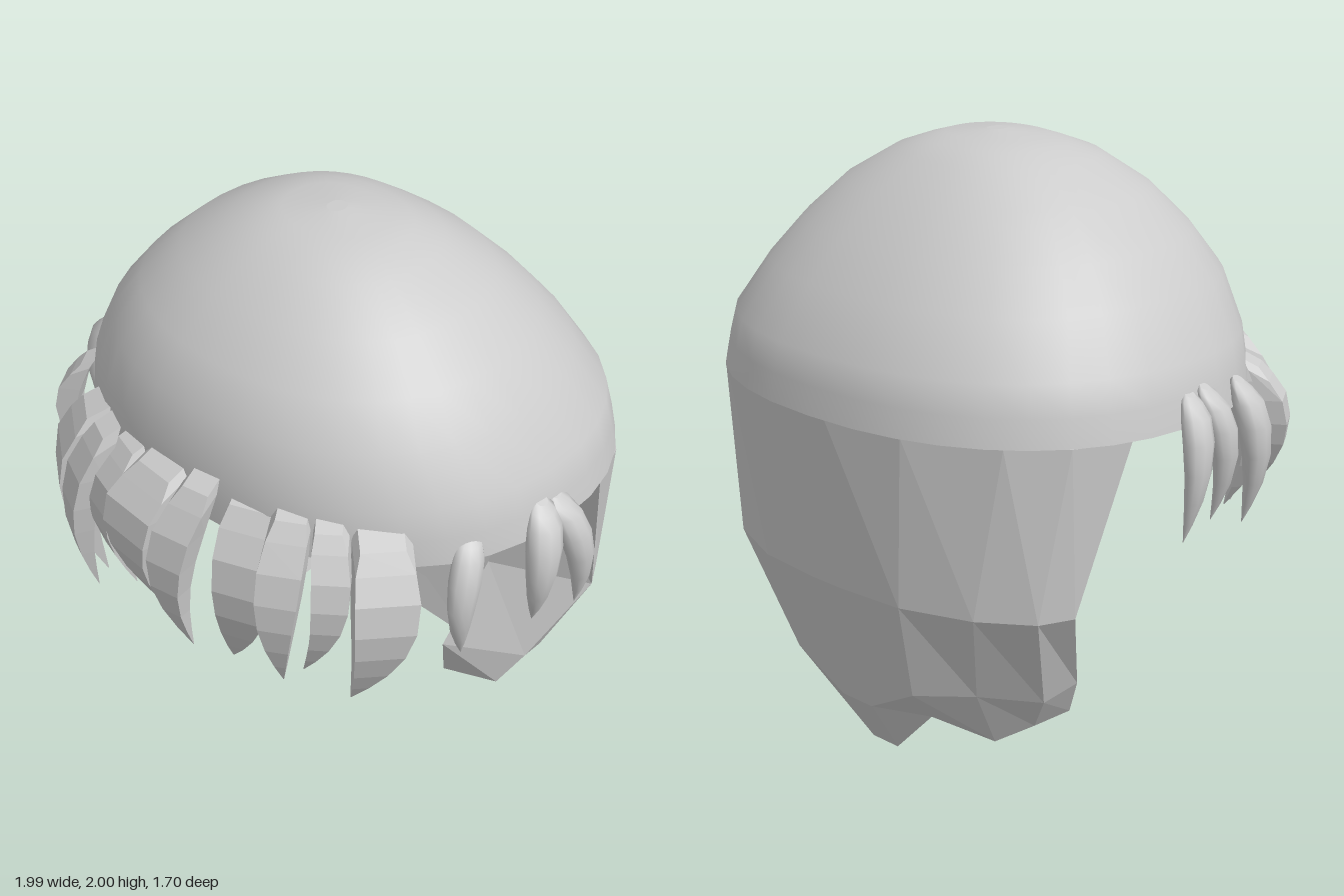
import * as THREE from 'three';

// Skin a stack of rings (top to bottom, each anticlockwise from above) and close both ends
function loft(name, rings, flat) {
  const n = rings[0].length, pos = [], idx = [];
  rings.forEach(r => r.forEach(p => pos.push(...p)));
  for (let i = 0; i < rings.length - 1; i++) {
    for (let j = 0; j < n; j++) {
      const k = (j + 1) % n, a = i * n, b = a + n;
      idx.push(a + j, b + j, b + k, a + j, b + k, a + k);
    }
  }
  [rings[0], rings[rings.length - 1]].forEach((ring, end) => {
    const start = pos.length / 3;
    ring.forEach(p => pos.push(...p));
    const outline = ring.map(p => new THREE.Vector2(p[0], -p[2]));
    THREE.ShapeUtils.triangulateShape(outline, []).forEach(([a, b, c]) =>
      idx.push(start + a, start + (end ? c : b), start + (end ? b : c)));
  });
  const geo = new THREE.BufferGeometry();
  geo.setAttribute('position', new THREE.Float32BufferAttribute(pos, 3));
  geo.setIndex(idx);
  geo.computeVertexNormals();
  const mesh = new THREE.Mesh(geo, new THREE.MeshStandardMaterial({
    color: 0xcccccc, flatShading: flat, side: THREE.DoubleSide }));
  mesh.name = name;
  return mesh;
}

// Smooth crown: rounded oval rings given as height, half width, front z, back z
function crown() {
  const levels = [
    [2.0, 0.03, 0.01, -0.06], [1.985, 0.18, 0.13, -0.17], [1.965, 0.25, 0.19, -0.24],
    [1.93, 0.35, 0.28, -0.32], [1.83, 0.52, 0.42, -0.46], [1.7, 0.66, 0.54, -0.59],
    [1.57, 0.765, 0.63, -0.7], [1.4, 0.865, 0.665, -0.81], [1.3, 0.89, 0.67, -0.83], [1.21, 0.905, 0.67, -0.845]];
  return loft('crown', levels.map(([y, w, f, b]) => Array.from({ length: 36 }, (_, j) => {
    const a = j / 36 * Math.PI * 2;
    // the back is squarer than the front
    const bulge = v => Math.sign(v) * Math.abs(v) ** (j < 18 ? 0.88 : 0.92);
    return [w * bulge(Math.cos(a)), y, (f + b) / 2 - (f - b) / 2 * bulge(Math.sin(a))];
  })), false);
}

// Thick hair at the back: half sections, five outer points then three inner ones
function backHair() {
  const halves = [
    [[0.875, 1.21, -0.32], [0.8, 1.21, -0.5], [0.66, 1.21, -0.65], [0.36, 1.21, -0.79], [0.07, 1.21, -0.84],
      [0.1, 1.21, -0.58], [0.56, 1.21, -0.58], [0.62, 1.21, -0.25]],
    [[0.78, 0.65, -0.46], [0.72, 0.64, -0.56], [0.56, 0.64, -0.68], [0.32, 0.64, -0.77], [0.07, 0.64, -0.79],
      [0.1, 0.64, -0.46], [0.41, 0.64, -0.46], [0.48, 0.69, -0.27]],
    [[0.64, 0.34, -0.3], [0.61, 0.3, -0.42], [0.46, 0.32, -0.57], [0.28, 0.3, -0.68], [0.07, 0.19, -0.67],
      [0.1, 0.33, -0.39], [0.35, 0.33, -0.39], [0.41, 0.36, -0.13]],
    [[0.56, 0.2, -0.25], [0.53, 0.18, -0.38], [0.42, 0.11, -0.45], [0.25, 0.18, -0.57], [0.06, 0, -0.55],
      [0.13, 0.21, -0.36], [0.34, 0.2, -0.36], [0.36, 0.17, -0.2]]];
  // the underside closes each outer point onto an inner one
  const last = halves[3];
  halves.push([7, 7, 6, 5, 5, 5, 6, 7].map(i => last[i]));
  const flip = list => list.map(([x, y, z]) => [-x, y, z]).reverse();
  return loft('backHair', halves.map(h => {
    const outer = h.slice(0, 5), inner = h.slice(5);
    return [...outer, ...flip(outer), ...flip(inner), ...inner];
  }), true);
}

// Curved lock that bows off the head, swings sideways and tapers to a point
function lock(name, [x, z, top, width, tipX, tipY, tipZ, swing], round) {
  const sides = round ? 10 : 4;
  const profile = round
    ? [[0, 0.35], [0.04, 0.7], [0.14, 0.95], [0.3, 1], [0.5, 0.85], [0.7, 0.6], [0.87, 0.3], [1, 0.02]]
    : [[0, 0.7], [0.08, 0.92], [0.25, 1], [0.42, 0.95], [0.58, 0.78], [0.74, 0.53], [0.88, 0.27], [1, 0.02]];
  const len = Math.hypot(x, z + 0.09), rx = x / len, rz = (z + 0.09) / len;
  const half = width / 2 * (round ? 1 : Math.SQRT2), deep = half * (round ? 0.8 : 0.62);
  return loft(name, profile.map(([t, s]) => {
    const arc = Math.sin(Math.PI * t), lean = t ** 1.7;
    const out = (round ? 0.04 : 0.07) * arc - 0.03 * (1 - t) ** 6;
    const cx = x + (tipX - x) * lean + rx * out + rz * swing * arc;
    const cz = z + (tipZ - z) * lean + rz * out - rx * swing * arc;
    return Array.from({ length: sides }, (_, j) => {
      const a = (j + 0.5) / sides * Math.PI * 2;
      const d = Math.cos(a) * deep * s, w = Math.sin(a) * half * s;
      // the top slopes down towards the outside
      const y = top + (tipY - top) * t - (t < 0.1 ? d * 0.5 : 0);
      return [cx + rx * d + rz * w, y, cz + rz * d - rx * w];
    });
  }), !round);
}

export function createModel() {
  const model = new THREE.Group();
  model.name = 'hair';
  model.add(crown(), backHair());

  // x, z, top, width, then the tip x, y, z and the sideways swing
  const fringe = new THREE.Group();
  fringe.name = 'fringe';
  [
    [-0.77, 0.41, 1.29, 0.12, -0.72, 0.83, 0.43, -0.02],
    [-0.52, 0.6, 1.32, 0.2, -0.46, 0.66, 0.62, -0.03],
    [-0.37, 0.69, 1.34, 0.14, -0.43, 0.65, 0.69, -0.02],
    [-0.26, 0.67, 1.33, 0.16, -0.22, 0.79, 0.7, -0.02],
    [-0.08, 0.7, 1.35, 0.22, -0.06, 0.8, 0.72, -0.03],
    [0.12, 0.73, 1.38, 0.14, 0.09, 0.73, 0.74, -0.05],
    [0.27, 0.63, 1.35, 0.21, 0.14, 0.63, 0.61, 0.03],
    [0.42, 0.62, 1.36, 0.14, 0.41, 0.72, 0.65, -0.02],
    [0.54, 0.58, 1.35, 0.12, 0.47, 0.78, 0.62, 0.03],
    [0.68, 0.49, 1.33, 0.2, 0.6, 0.69, 0.54, 0.02],
  ].forEach(d => fringe.add(lock('fringeLock', d, false)));

  const sideLocks = new THREE.Group();
  sideLocks.name = 'sideLocks';
  [
    [0.83, 0.24, 1.29, 0.11, 0.81, 0.83, 0.26, -0.05],
    [0.91, -0.01, 1.32, 0.13, 0.89, 0.86, 0.01, -0.04],
    [0.91, -0.08, 1.31, 0.12, 0.92, 0.84, -0.17, 0.03],
    [-0.9, 0.18, 1.3, 0.13, -0.88, 0.82, 0.2, 0],
    [-0.92, -0.01, 1.32, 0.11, -0.9, 0.88, 0.02, 0.02],
    [-0.92, -0.08, 1.31, 0.11, -0.92, 0.85, -0.13, -0.02],
  ].forEach(d => sideLocks.add(lock('sideLock', d, true)));

  model.add(fringe, sideLocks);
  return model;
}
